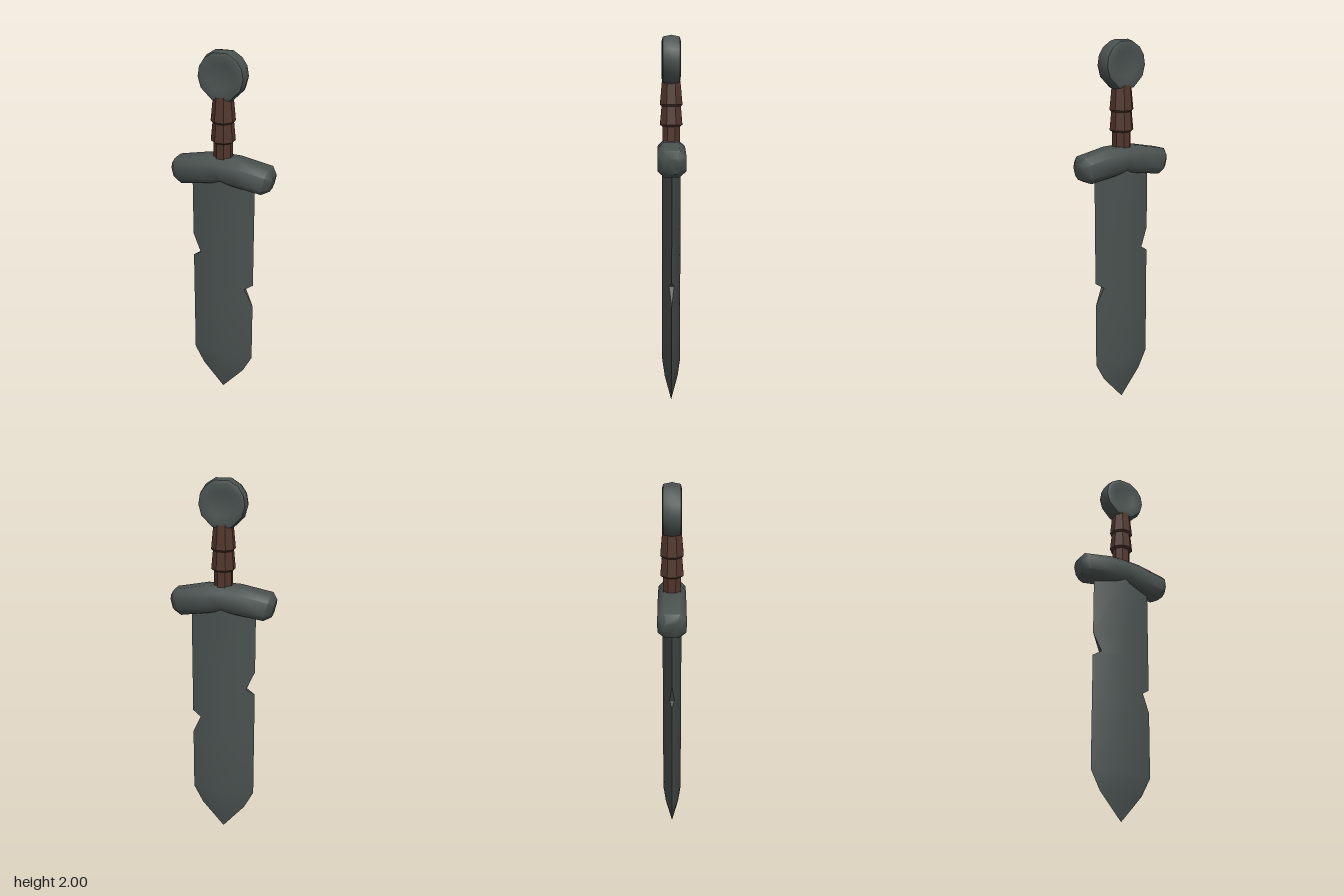
import * as THREE from 'three';
import { toCreasedNormals } from 'three/addons/utils/BufferGeometryUtils.js';

const steel = new THREE.MeshStandardMaterial({ color: 0x4a5250 });
steel.name = 'dark steel';
const leather = new THREE.MeshStandardMaterial({ color: 0x50352c });
leather.name = 'brown leather';

// Skin a list of equal-length rings, closing both ends
function loft(rings, crease) {
  const n = rings[0].length;
  const index = [];
  for (let i = 0; i < rings.length - 1; i++) {
    for (let j = 0; j < n; j++) {
      const a = i * n + j, b = i * n + (j + 1) % n;
      index.push(a, b, b + n, a, b + n, a + n);
    }
  }
  const last = (rings.length - 1) * n;
  for (let j = 1; j < n - 1; j++) {
    index.push(0, j + 1, j, last, last + j, last + j + 1);
  }
  const geometry = new THREE.BufferGeometry();
  geometry.setAttribute('position', new THREE.Float32BufferAttribute(rings.flat(2), 3));
  geometry.setIndex(index);
  return toCreasedNormals(geometry, crease);
}

// Diamond-section blade with one nick in each edge
function bladeGeometry() {
  const W = 0.175, T = 0.05, N = 0.128;
  // height, left-hand edge, right-hand edge, half thickness at the ridge
  const rows = [
    [0, 0, 0, 0], [0.14, 0.122, 0.122, 0.036], [0.24, W, W, T],
    [0.59, W, W, T], [0.69, W, N, T], [0.72, W, W, T],
    [0.85, W, W, T], [0.878, N, W, T], [0.98, W, W, T], [1.36, W, W, T],
  ];
  const edge = (x) => (x === N ? T * (1 - N / W) : 0);
  return loft(rows.map(([y, l, r, t]) => [
    [0, y, t], [r, y, edge(r)], [r, y, -edge(r)],
    [0, y, -t], [-l, y, -edge(l)], [-l, y, edge(l)],
  ]), 0.8);
}

// Chamfered crossguard drooping towards its ends
function guardGeometry() {
  // top x, top y, bottom x, bottom y, half depth
  const half = [
    [0.282, 1.385, 0.262, 1.302, 0.042],
    [0.258, 1.42, 0.222, 1.284, 0.073],
    [0.09, 1.453, 0.07, 1.307, 0.073],
  ];
  const stations = [
    ...half.map(([a, b, c, d, z]) => [-a, b, -c, d, z]),
    [0, 1.456, 0, 1.322, 0.073],
    ...half.slice().reverse(),
  ];
  const section = [[1, 0.55], [0.77, 1], [0.23, 1], [0, 0.55]];
  const loop = [...section, ...section.slice().reverse().map(([t, z]) => [t, -z])];
  return loft(stations.map(([tx, ty, bx, by, depth]) => loop.map(([t, z]) => [
    bx + (tx - bx) * t, by + (ty - by) * t, z * depth,
  ])), 0.9);
}

// Eight-sided grip with two flared wraps
function gripGeometry() {
  const profile = [
    [0, 1.42], [0.05, 1.42], [0.05, 1.53], [0.064, 1.54], [0.055, 1.635],
    [0.064, 1.645], [0.052, 1.77], [0, 1.77],
  ].map(([r, y]) => new THREE.Vector2(r, y));
  return toCreasedNormals(new THREE.LatheGeometry(profile, 8, Math.PI / 8), 0.5);
}

// Teardrop disc pommel with slightly dished faces
function pommelGeometry() {
  const right = [
    [0.05, 1.75], [0.112, 1.81], [0.128, 1.87], [0.119, 1.925], [0.09, 1.968], [0.04, 2],
  ];
  const outline = [...right, ...right.slice().reverse().map(([x, y]) => [-x, y])];
  const front = [[1, 0], [0.93, 0.043], [0.78, 0.049], [0.5, 0.041], [0, 0.037]];
  const rings = [...front.slice(1).reverse().map(([s, z]) => [s, -z]), ...front];
  const cy = 1.875;
  return loft(rings.map(([s, z]) => outline.map(([x, y]) => [x * s, cy + (y - cy) * s, z])), 0.9);
}

export function createModel() {
  const group = new THREE.Group();
  group.name = 'sword';
  const add = (name, geometry, material) => {
    const mesh = new THREE.Mesh(geometry, material);
    mesh.name = name;
    group.add(mesh);
  };
  add('blade', bladeGeometry(), steel);
  add('crossguard', guardGeometry(), steel);
  add('grip', gripGeometry(), leather);
  add('pommel', pommelGeometry(), steel);
  return group;
}
